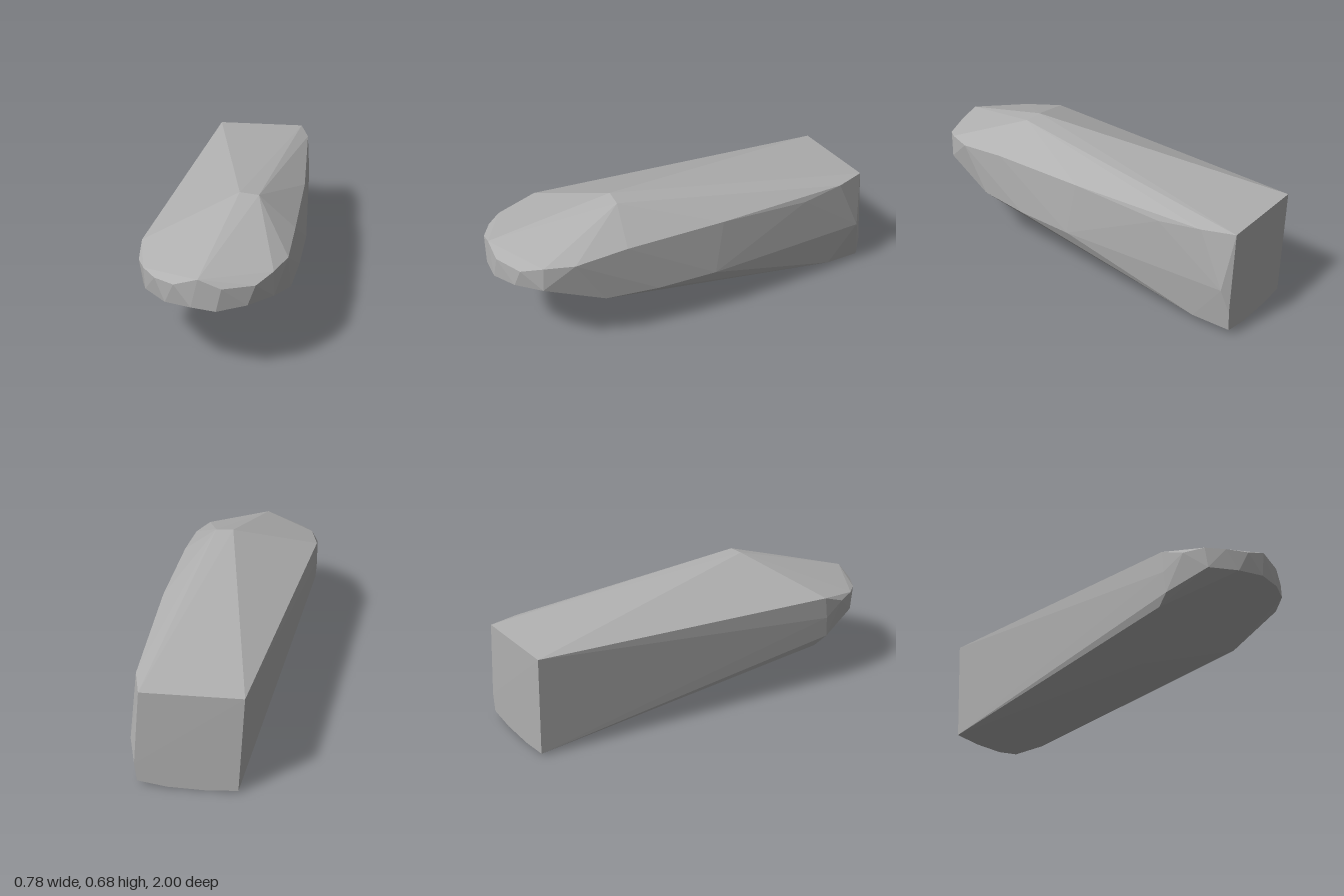
import * as THREE from 'three';
import { ConvexGeometry } from 'three/addons/geometries/ConvexGeometry.js';

// Corner points [x, y, z] of the faceted stone, grouped by region
const ridge = [
  [0.065, 0.683, 0.38], [0.16, 0.675, 0.39],
];
const upperRim = [
  [-0.387, 0.515, 0.6], [-0.385, 0.47, 0.72], [-0.348, 0.48, 0.82], [-0.285, 0.472, 0.9],
  [-0.19, 0.475, 0.965], [-0.077, 0.515, 0.985], [0.03, 0.473, 0.99], [0.18, 0.467, 0.93],
  [0.257, 0.495, 0.84], [0.318, 0.5, 0.7],
];
const lowerRim = [
  [-0.392, 0.4, 0.61], [-0.386, 0.29, 0.62], [-0.36, 0.24, 0.56], [-0.34, 0.375, 0.83],
  [-0.235, 0.368, 0.935], [-0.11, 0.375, 0.99], [0.005, 0.363, 1], [0.145, 0.375, 0.95],
  [0.26, 0.375, 0.85], [0.33, 0.265, 0.55], [0.365, 0.25, 0.27],
];
const flank = [
  [0.342, 0.525, 0.43], [0.375, 0.53, -0.1], [0.377, 0.528, -0.83], [0.385, 0.5, -0.6],
  [0.392, 0.25, -0.05], [0.39, 0.25, -0.96], [0.37, 0.04, -0.8],
];
const keel = [[-0.1, 0.115, 0.27]];
const backEnd = [
  [-0.15, 0.54, -1], [0.335, 0.535, -0.995], [0.372, 0.13, -1], [0.363, 0.03, -1],
  [0.22, 0.005, -1], [0.03, 0, -1], [-0.12, 0.012, -1],
];

export function createModel() {
  const group = new THREE.Group();
  group.name = 'stone';
  const grey = new THREE.MeshStandardMaterial({ color: 0xb0b0b0 });
  grey.name = 'stone grey';

  // One convex faceted block
  const points = [ridge, upperRim, lowerRim, flank, keel, backEnd]
    .flat()
    .map(([x, y, z]) => new THREE.Vector3(x, y, z));
  const body = new THREE.Mesh(new ConvexGeometry(points), grey);
  body.name = 'stoneBody';
  group.add(body);
  return group;
}
